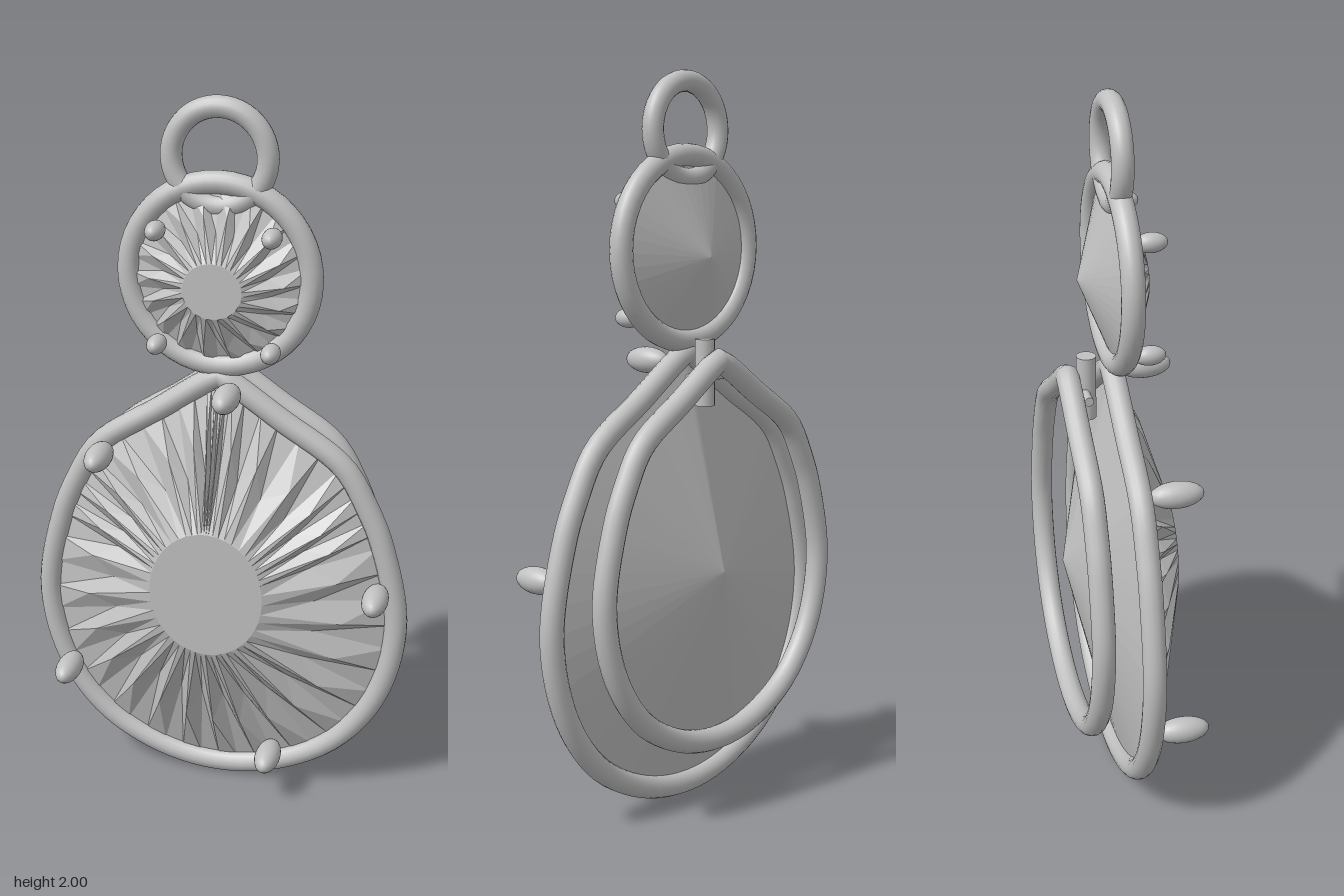
import * as THREE from 'three';

const metal = new THREE.MeshStandardMaterial({ color: 0xc0c0c0 });
metal.name = 'silver grey';

// Right half of the teardrop centreline, bottom to tip
const HALF = [[0.17, 0.062], [0.34, 0.158], [0.46, 0.325], [0.508, 0.55], [0.462, 0.79],
  [0.415, 0.905], [0.345, 1.02], [0.17, 1.14], [0.035, 1.232]];
const TIP = 1.25, PLANE = -0.013;

// Closed teardrop curve, scaled about the point (0, cy)
function teardrop(scale, cy, z) {
  const right = HALF.map(([x, y]) => [x, y]);
  const left = [...HALF].reverse().map(([x, y]) => [-x, y]);
  const pts = [[0, 0.033], ...right, [0, TIP], ...left];
  return new THREE.CatmullRomCurve3(
    pts.map(([x, y]) => new THREE.Vector3(x * scale, cy + (y - cy) * scale, z)), true, 'centripetal');
}

function add(parent, name, geometry, x = 0, y = 0, z = 0) {
  const mesh = new THREE.Mesh(geometry, metal);
  mesh.name = name;
  mesh.position.set(x, y, z);
  parent.add(mesh);
  return mesh;
}

// Gem: flat table, pleated crown, girdle and pointed back
function gemGeometry(girdle, o) {
  const n = girdle.length, pos = [];
  const tri = (...v) => v.forEach((p) => pos.push(p.x, p.y, p.z));
  const table = girdle.map((g) => {
    const a = Math.atan2(g.y - o.cy, g.x);
    return new THREE.Vector3(Math.cos(a) * o.rx, o.cy + Math.sin(a) * o.ry, o.front);
  });
  // alternate ridges and valleys halfway up the crown
  const mid = girdle.map((g, i) => {
    const p = table[i].clone().lerp(g, i % 2 ? 0.4 : 0.62);
    p.z += i % 2 ? -o.pleat : o.pleat;
    return p;
  });
  const front = new THREE.Vector3(0, o.cy, o.front);
  const back = new THREE.Vector3(0, o.cy, o.back);
  for (let i = 0; i < n; i++) {
    const j = (i + 1) % n;
    tri(front, table[i], table[j]);
    tri(table[i], mid[i], mid[j]);
    tri(table[i], mid[j], table[j]);
    tri(mid[i], girdle[i], girdle[j]);
    tri(mid[i], girdle[j], mid[j]);
    tri(back, girdle[j], girdle[i]);
  }
  const geo = new THREE.BufferGeometry();
  geo.setAttribute('position', new THREE.Float32BufferAttribute(pos, 3));
  geo.computeVertexNormals();
  return geo;
}

// Ellipsoid prongs holding a gem
function prongs(parent, name, spots, radius, halfLength, z) {
  const group = new THREE.Group();
  group.name = name;
  parent.add(group);
  for (const [x, y] of spots) {
    add(group, 'prong', new THREE.SphereGeometry(1, 20, 14), x, y, z)
      .scale.set(radius, radius, halfLength);
  }
}

export function createModel() {
  const model = new THREE.Group();
  model.name = 'pendant';

  // Hanging loop and round setting
  add(model, 'hangingLoop', new THREE.TorusGeometry(0.128, 0.029, 16, 48), 0, 1.843, PLANE);
  add(model, 'roundFrame', new THREE.TorusGeometry(0.248, 0.031, 16, 48), 0, 1.53, PLANE);

  // Round gem
  const ring = [];
  for (let i = 0; i < 36; i++) {
    const a = (i / 36) * Math.PI * 2;
    ring.push(new THREE.Vector3(Math.cos(a) * 0.245, 1.525 + Math.sin(a) * 0.245, PLANE));
  }
  add(model, 'roundGem', gemGeometry(ring,
    { cy: 1.508, rx: 0.08, ry: 0.075, front: 0.07, back: -0.105, pleat: 0.012 }));
  prongs(model, 'roundGemProngs',
    [[-0.155, 1.657], [0.155, 1.657], [-0.155, 1.348], [0.155, 1.348]], 0.026, 0.043, 0.053);

  // Teardrop frames, front and rear
  add(model, 'teardropFrame', new THREE.TubeGeometry(teardrop(1, TIP, PLANE), 96, 0.032, 14, true));
  add(model, 'rearFrame', new THREE.TubeGeometry(teardrop(0.86, TIP - 0.1, -0.133), 96, 0.032, 14, true));

  // Teardrop gem
  const drop = teardrop(0.975, 0.66, PLANE).getPoints(60).slice(0, 60);
  add(model, 'teardropGem', gemGeometry(drop,
    { cy: 0.66, rx: 0.16, ry: 0.185, front: 0.142, back: -0.155, pleat: 0.017 }));
  prongs(model, 'teardropGemProngs',
    [[0.045, 1.225], [-0.315, 1.02], [0.462, 0.68], [-0.425, 0.342], [0.17, 0.135]], 0.036, 0.074, 0.088);

  // Post and pin joining the frames
  add(model, 'joiningPost', new THREE.CylinderGeometry(0.027, 0.027, 0.18, 16), 0, 1.2, -0.082);
  add(model, 'joiningPin', new THREE.CylinderGeometry(0.013, 0.013, 0.15, 12), 0, 1.19, -0.09)
    .rotation.z = Math.PI / 2;

  return model;
}
